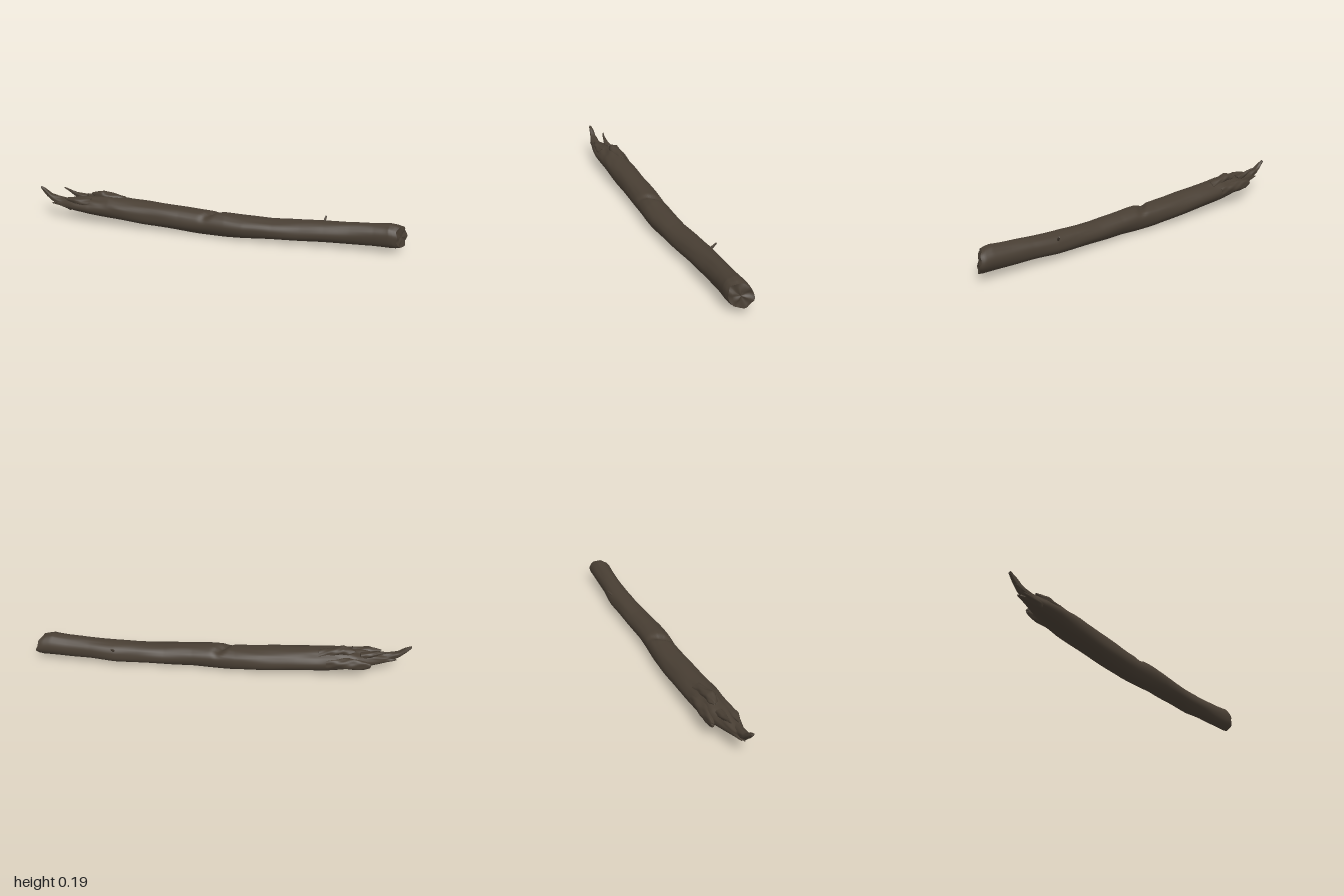
import * as THREE from 'three';

const SIDES = 40;
const bark = new THREE.MeshStandardMaterial({ color: 0x483e33, side: THREE.DoubleSide });
bark.name = 'dark brown bark';

// Stations along x: [x, bottom, top, back, front]
const TRUNK = [
  [-0.92, 0.095, 0.125, -0.015, 0.028],
  [-0.86, 0.08, 0.132, -0.03, 0.04],
  [-0.8, 0.068, 0.14, -0.045, 0.055],
  [-0.72, 0.057, 0.152, -0.07, 0.065],
  [-0.6, 0.044, 0.16, -0.083, 0.068],
  [-0.4, 0.026, 0.15, -0.08, 0.07],
  [-0.2, 0.012, 0.14, -0.073, 0.07],
  [-0.08, 0.007, 0.134, -0.067, 0.076],
  [0.05, 0.006, 0.137, -0.054, 0.084],
  [0.15, 0.012, 0.13, -0.051, 0.088],
  [0.3, 0.017, 0.125, -0.052, 0.08],
  [0.45, 0.021, 0.131, -0.054, 0.073],
  [0.57, 0.026, 0.138, -0.057, 0.069],
  [0.7, 0.034, 0.146, -0.045, 0.068],
  [0.82, 0.037, 0.156, -0.039, 0.07],
  [0.91, 0.038, 0.166, -0.035, 0.077],
  [0.965, 0.04, 0.16, -0.033, 0.077],
];

// Splinters of the torn end, in the same form
const SPLINTERS = {
  longTip: [
    [-1, 0.176, 0.19, -0.008, 0.008], [-0.975, 0.145, 0.178, -0.012, 0.014],
    [-0.94, 0.112, 0.15, -0.014, 0.022], [-0.88, 0.088, 0.136, -0.018, 0.034],
    [-0.8, 0.075, 0.13, -0.02, 0.045]],
  lowerTip: [
    [-0.965, 0.135, 0.14, 0.004, 0.012], [-0.91, 0.1, 0.125, 0, 0.03],
    [-0.82, 0.075, 0.12, -0.01, 0.05]],
  upperSpike: [
    [-0.88, 0.172, 0.178, -0.045, -0.038], [-0.85, 0.158, 0.172, -0.04, -0.028],
    [-0.8, 0.13, 0.16, -0.04, -0.015], [-0.74, 0.11, 0.152, -0.045, 0]],
  backSlab: [
    [-0.79, 0.1, 0.125, -0.088, -0.072], [-0.76, 0.085, 0.135, -0.09, -0.06],
    [-0.68, 0.075, 0.14, -0.09, -0.04], [-0.56, 0.075, 0.13, -0.085, -0.03]],
  frontSpike: [
    [-0.85, 0.135, 0.143, 0.02, 0.03], [-0.79, 0.115, 0.152, 0.01, 0.05],
    [-0.7, 0.1, 0.15, 0, 0.055]],
  crest: [
    [-0.71, 0.158, 0.166, -0.035, -0.02], [-0.68, 0.14, 0.176, -0.045, 0],
    [-0.645, 0.13, 0.187, -0.045, 0.008], [-0.6, 0.13, 0.174, -0.05, 0.005],
    [-0.52, 0.12, 0.158, -0.05, 0]],
};

const smooth = (a, b, x) => THREE.MathUtils.smoothstep(x, a, b);

// Interpolate a station at x
function sample(table, x) {
  let i = 0;
  while (i < table.length - 2 && x > table[i + 1][0]) i++;
  const a = table[i], b = table[i + 1];
  const t = (x - a[0]) / (b[0] - a[0]);
  return a.map((v, k) => THREE.MathUtils.lerp(v, b[k], t));
}

// Loft rings into a closed solid; each end gets a hard edged, slightly rough cap
function loft(table, steps, shape) {
  const pos = [], idx = [], x0 = table[0][0], x1 = table[table.length - 1][0];
  for (let i = 0; i <= steps; i++) {
    const [x, yb, yt, zb, zf] = sample(table, x0 + (x1 - x0) * i / steps);
    for (let j = 0; j < SIDES; j++) {
      const a = j / SIDES * Math.PI * 2;
      const r = shape.radius(x, a);
      const y = (yb + yt) / 2 + (yt - yb) / 2 * Math.sin(a) * r;
      const z = (zb + zf) / 2 + (zf - zb) / 2 * Math.cos(a) * r;
      pos.push(x + shape.slant(x, y, z, a), y, z);
    }
  }
  for (let i = 0; i < steps; i++) for (let j = 0; j < SIDES; j++) {
    const a = i * SIDES + j, b = i * SIDES + (j + 1) % SIDES;
    idx.push(a, a + SIDES, b, b, a + SIDES, b + SIDES);
  }
  for (const end of [0, steps]) {
    const ring = pos.slice(end * SIDES * 3, (end + 1) * SIDES * 3);
    const c = [0, 1, 2].map(k => ring.reduce((s, v, n) => n % 3 === k ? s + v : s, 0) / SIDES);
    const base = pos.length / 3;
    [1, 0.7, 0.35, 0].forEach((f, n) => {
      for (let j = 0; j < SIDES; j++) {
        const dent = n && f ? 0.004 * Math.sin(j * 0.47 + n * 2) : 0;
        for (let k = 0; k < 3; k++) {
          pos.push(c[k] + (ring[j * 3 + k] - c[k]) * f + (k ? 0 : dent));
        }
      }
    });
    for (let n = 0; n < 3; n++) for (let j = 0; j < SIDES; j++) {
      const a = base + n * SIDES + j, b = base + n * SIDES + (j + 1) % SIDES;
      const p = a + SIDES, q = b + SIDES;
      if (end) idx.push(a, p, b, b, p, q);
      else idx.push(a, b, p, b, q, p);
    }
  }
  const g = new THREE.BufferGeometry();
  g.setAttribute('position', new THREE.Float32BufferAttribute(pos, 3));
  g.setIndex(idx);
  g.computeVertexNormals();
  return g;
}

// Bark: gentle lumps, long grooves, a notch on top and a rougher torn end
const trunkShape = {
  radius(x, a) {
    const up = Math.max(0, Math.sin(a));
    const lumps = 0.018 * Math.sin(3 * a + 5 * x) + 0.014 * Math.sin(5 * a - 9 * x + 1)
      + 0.012 * Math.sin(2 * a + 23 * x);
    const grooves = 0.016 * up * Math.sin(11 * a + 2 * Math.sin(6 * x)) * Math.sin(14 * x + a);
    const torn = (1 - smooth(-0.75, -0.4, x)) * up
      * (0.05 * Math.sin(9 * a + 17 * x) + 0.05 * Math.sin(47 * x + 4 * a));
    const crack = x + 0.02 + 0.05 * Math.cos(a);
    const notch = -0.34 * up ** 3 * Math.exp(-((crack / 0.022) ** 2));
    const rim = -0.06 * smooth(0.94, 0.965, x);
    return 1 + lumps + grooves + torn + notch + rim;
  },
  slant(x, y, z, a) {
    const w = smooth(0.86, 0.965, x);
    const jag = (1 - smooth(-0.92, -0.86, x)) * 0.015 * Math.sin(5 * a);
    return jag - w * (0.48 * (z - 0.02) + 0.2 * (y - 0.1) - 0.004 * Math.sin(6 * a));
  },
};

const splinterShape = {
  radius: (x, a) => 1 + 0.07 * Math.sin(3 * a + 40 * x) + 0.05 * Math.sin(5 * a - 70 * x),
  slant: () => 0,
};

export function createModel() {
  const group = new THREE.Group();
  group.name = 'fallenLog';
  const add = (name, geometry) => {
    const mesh = new THREE.Mesh(geometry, bark);
    mesh.name = name;
    group.add(mesh);
    return mesh;
  };

  add('trunk', loft(TRUNK, 260, trunkShape));
  for (const [name, table] of Object.entries(SPLINTERS)) {
    add(name, loft(table, 24, splinterShape));
  }

  // Small broken twig on the back
  const twig = add('twigStub', new THREE.CylinderGeometry(0.004, 0.008, 0.045, 8));
  twig.position.set(0.57, 0.122, -0.05);
  twig.rotation.set(-0.75, 0, -0.2);
  return group;
}
